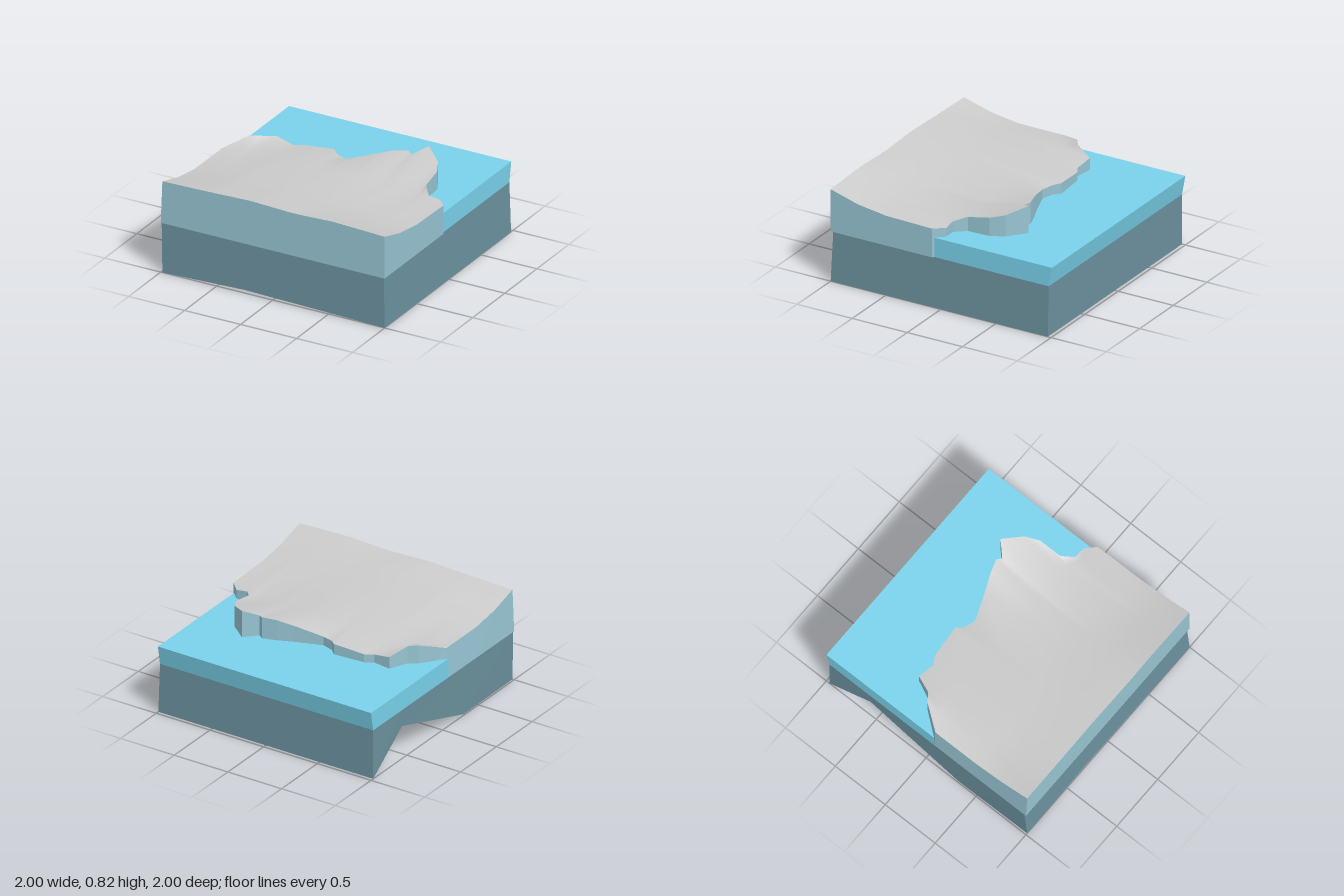
import * as THREE from 'three';

const BASE_TOP = 0.425, WATER_TOP = 0.59;

// Shoreline from left edge to right edge: x, z, clifftop height
const shore = [
  [-0.985, 0.08, 0.68], [-0.85, -0.11, 0.745], [-0.78, -0.16, 0.74], [-0.71, -0.31, 0.69],
  [-0.56, -0.29, 0.66], [-0.49, -0.33, 0.66], [-0.22, -0.35, 0.68], [-0.17, -0.30, 0.67],
  [-0.07, -0.27, 0.665], [0.15, -0.35, 0.73], [0.27, -0.40, 0.765], [0.39, -0.44, 0.775],
  [0.43, -0.41, 0.765], [0.53, -0.51, 0.82], [0.68, -0.39, 0.77], [0.735, -0.28, 0.745],
  [0.745, -0.09, 0.71], [0.82, 0, 0.68], [0.92, 0, 0.665], [1, 0.08, 0.67],
];

// Ground heights along x at fixed z: [x, y] pairs
const profiles = {
  1: [[-1, 0.785], [-0.6, 0.793], [-0.2, 0.806], [0.2, 0.79], [0.55, 0.804], [1, 0.785]],
  0.75: [[-1, 0.715], [-0.5, 0.765], [0, 0.775], [0.55, 0.745], [1, 0.715]],
  0.5: [[-1, 0.68], [-0.5, 0.74], [0, 0.742], [0.55, 0.7], [1, 0.68]],
  0: [[-1, 0.685], [-0.5, 0.7], [-0.2, 0.708], [0.2, 0.695], [0.53, 0.675], [1, 0.668]],
};

function sample(points, x) {
  for (let i = 1; i < points.length; i++) {
    const [x0, y0] = points[i - 1], [x1, y1] = points[i];
    if (x <= x1) return y0 + (y1 - y0) * (x - x0) / (x1 - x0);
  }
  return points[points.length - 1][1];
}

// Surface joining rows of points
function loft(rows, smooth = false) {
  const n = rows[0].length, index = [];
  for (let i = 0; i < rows.length - 1; i++) {
    for (let j = 0; j < n - 1; j++) {
      const a = i * n + j, b = a + 1, c = b + n, d = a + n;
      index.push(a, b, c, a, c, d);
    }
  }
  let geo = new THREE.BufferGeometry();
  geo.setAttribute('position', new THREE.Float32BufferAttribute(rows.flat(2), 3));
  geo.setIndex(index);
  if (!smooth) geo = geo.toNonIndexed();
  geo.computeVertexNormals();
  return geo;
}

export function createModel() {
  const model = new THREE.Group();
  const material = (color) => new THREE.MeshStandardMaterial({ color, side: THREE.DoubleSide });
  const grey = material(0xcccccc), rock = material(0x6b919e);
  const cliff = material(0x97c4d2), blue = material(0x79d2eb);
  const add = (name, geo, mat) => {
    const mesh = new THREE.Mesh(geo, mat);
    mesh.name = name;
    model.add(mesh);
  };

  // Hollow base: bottom rim is arched in front and notched on the left
  const rimBottom = [
    [-0.985, 0, 1], [-0.25, 0.027, 1], [1, 0, 1], [1, 0, -0.97], [-1, 0, -0.97],
    [-0.995, 0.28, -0.56], [-0.99, 0, 0.31], [-0.985, 0, 1],
  ];
  const rimTop = rimBottom.map(([x, , z]) => [
    x === 1 ? 0.985 : x < -0.9 ? -1 : x, BASE_TOP, z === 1 ? 0.985 : z]);
  add('baseWalls', loft([rimBottom, rimTop]), rock);
  add('baseCeiling', loft([
    [[-1, BASE_TOP, -0.97], [0.985, BASE_TOP, -0.97]],
    [[-1, BASE_TOP, 0.99], [0.985, BASE_TOP, 0.99]],
  ]), rock);

  // Land surface, from the front edge back to the shoreline
  const rows = [1, 0.75, 0.5, 0].map((z) => shore.map(([x, zs, ys]) => {
    if (z === 0 && zs > -0.03) {
      const t = 0.1;
      return [x, ys + (sample(profiles[0.5], x) - ys) * t, zs + (0.5 - zs) * t];
    }
    return [x, sample(profiles[z], x), z];
  }));
  rows.push(shore.map(([x, z, y]) => [x, y, z]));
  add('landSurface', loft(rows, true), grey);

  // Cliff walls around the whole land edge
  const last = shore.length - 1;
  const edge = [
    ...rows[0],
    ...rows.slice(1).map((r) => r[last]),
    ...[...rows[rows.length - 1]].reverse().slice(1),
    ...[...rows].reverse().slice(1).map((r) => r[0]),
  ];
  const foot = edge.map(([x, , z]) => [x === -0.985 ? -1 : x, BASE_TOP, z]);
  add('landWalls', loft([foot, edge]), cliff);

  // Water sheet, reaching from the shoreline to the back
  const waterX = (x) => (x === 1 ? 0.985 : x === -0.985 ? -1 : x);
  const waterFront = shore.map(([x, z]) => [waterX(x), WATER_TOP, z]);
  const waterBack = shore.map(([x]) => [waterX(x), WATER_TOP, -1]);
  add('waterSurface', loft([waterFront, waterBack]), blue);

  // Water side walls, leaning out slightly at the back
  const waterEdge = [
    [0.985, WATER_TOP, 0.08], [0.985, WATER_TOP, -1], [-1, WATER_TOP, -1], [-1, WATER_TOP, 0.08],
  ];
  const waterFoot = waterEdge.map(([x, , z]) => [x, BASE_TOP, z === -1 ? -0.97 : z]);
  add('waterWalls', loft([waterFoot, waterEdge]), blue);

  return model;
}
